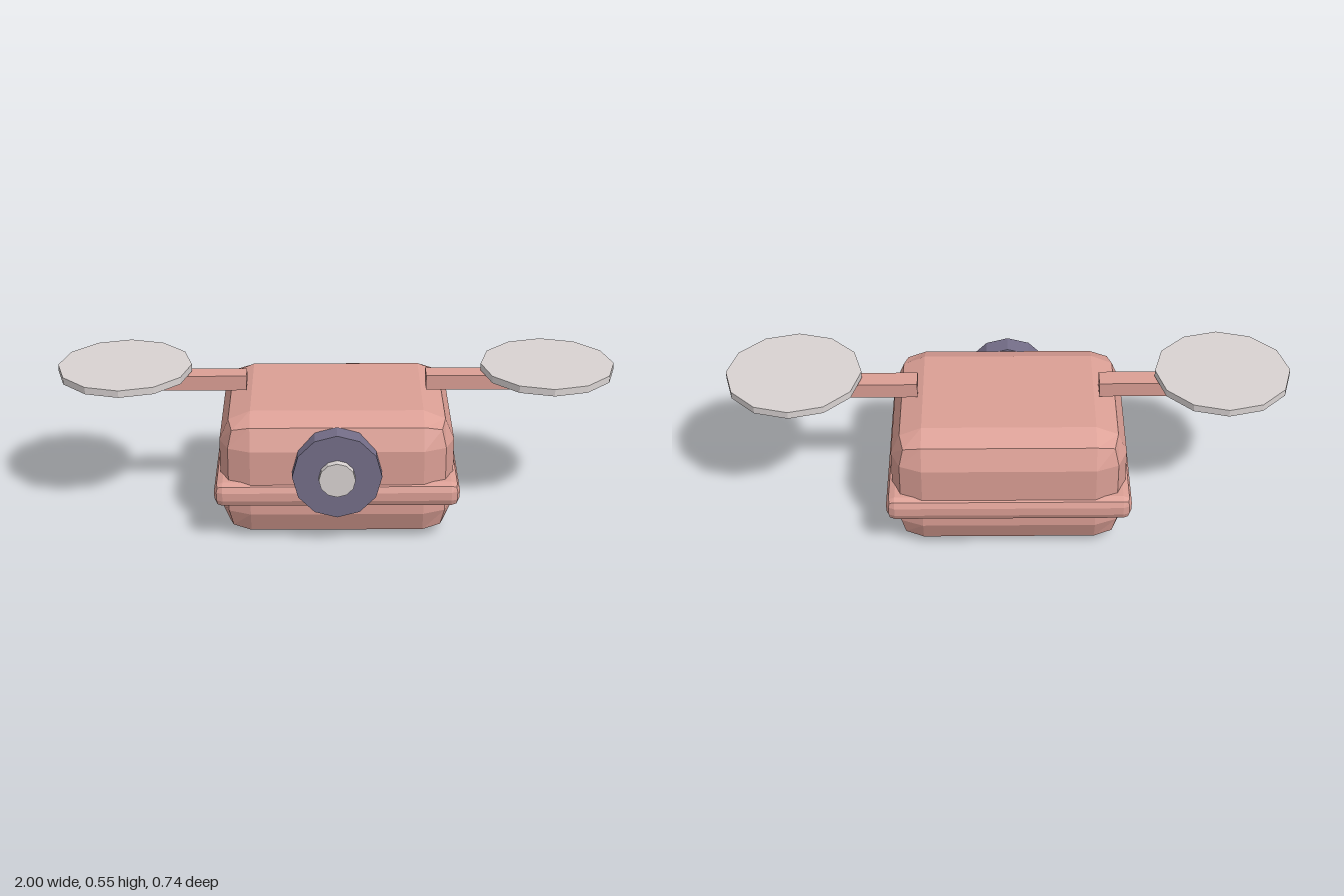
import * as THREE from 'three';
import { RoundedBoxGeometry } from 'three/addons/geometries/RoundedBoxGeometry.js';

export function createModel() {
  const group = new THREE.Group();
  const material = (name, color) => {
    const m = new THREE.MeshStandardMaterial({ color, flatShading: true });
    m.name = name;
    return m;
  };
  const shell = material('shellPink', 0xdb9f95);
  const pale = material('paleGrey', 0xd9d3d2);
  const slate = material('slatePurple', 0x746e88);
  const midZ = -0.027;

  const add = (name, geometry, mat, x, y, z) => {
    const mesh = new THREE.Mesh(geometry, mat);
    mesh.name = name;
    mesh.position.set(x, y, z);
    group.add(mesh);
    return mesh;
  };

  // Bevelled body: one 45 degree step in each rounded edge
  add('body', new RoundedBoxGeometry(0.83, 0.463, 0.65, 1, 0.11), shell, 0, 0.2325, midZ);

  // Bumper band around the waist
  add('bumperBand', new RoundedBoxGeometry(0.866, 0.09, 0.684, 1, 0.03), shell, 0, 0.187, midZ);

  // Twelve-sided camera eye on the front
  const disc = (radius, depth) => new THREE.CylinderGeometry(radius, radius, depth, 12);
  add('eyeRing', disc(0.157, 0.074), slate, 0, 0.28, 0.307).rotation.x = Math.PI / 2;
  add('eyeLens', disc(0.064, 0.06), pale, 0, 0.28, 0.342).rotation.x = Math.PI / 2;

  // Rotor arms and rotor discs, mirrored
  for (const [side, s] of [['left', 1], ['right', -1]]) {
    add(side + 'Arm', new THREE.BoxGeometry(0.462, 0.055, 0.073), shell, s * 0.554, 0.4925, midZ);
    add(side + 'Rotor', disc(0.24, 0.026), pale, s * 0.76, 0.539, midZ);
  }

  return group;
}
